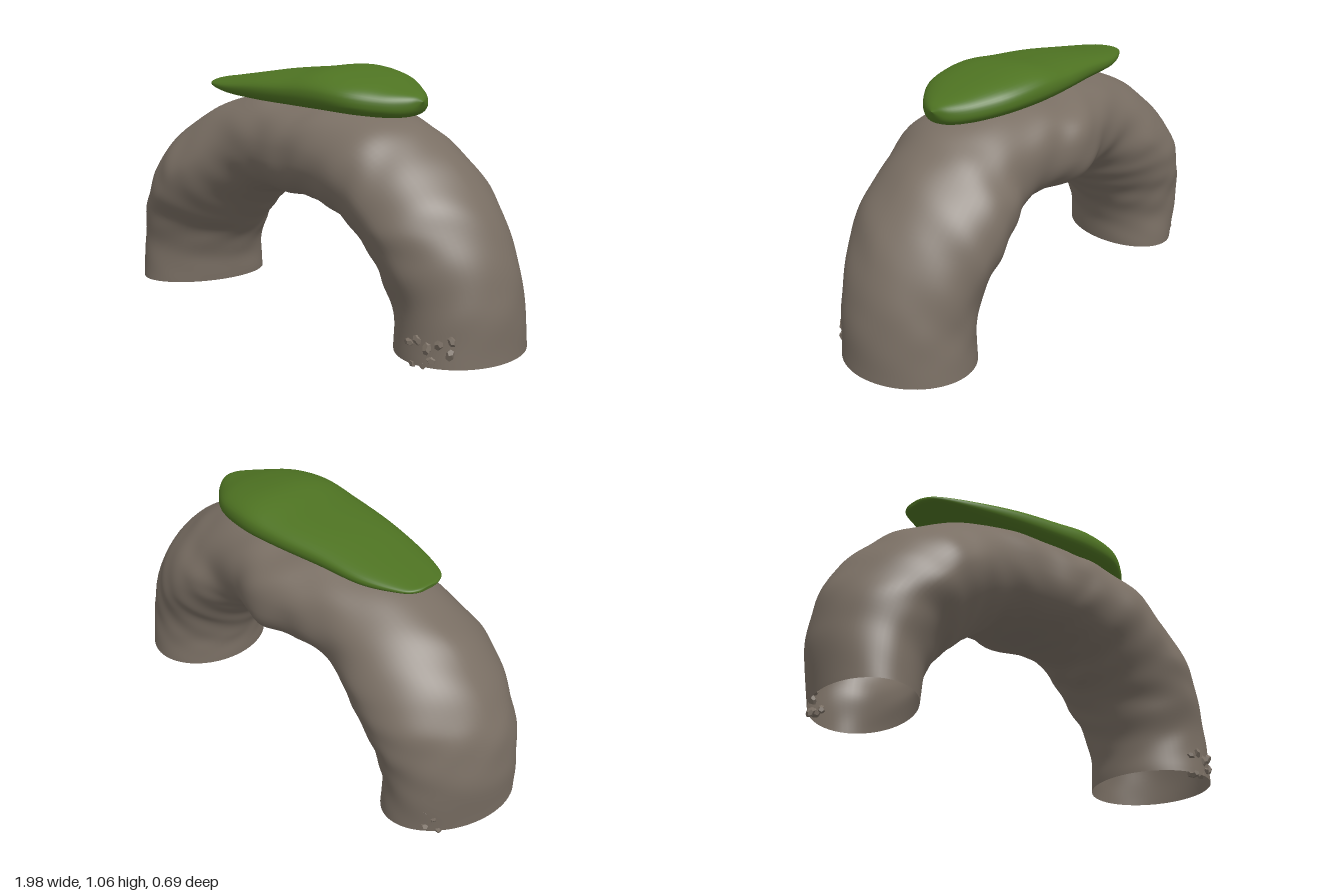
import * as THREE from 'three';

// Lofts open rings along two matching rails. Rail rows are [x, y, half depth]:
// the outer rail carries the depth toward +z, the inner rail toward -z.
// shape(u) is 1 for an ellipse, smaller for a boxier and larger for a slimmer section.
function loft(outerRows, innerRows, rings, sides, shape, bump) {
  const rail = rows => new THREE.CatmullRomCurve3(
    rows.map(r => new THREE.Vector3(...r)), false, 'catmullrom', 0.5);
  const outer = rail(outerRows), inner = rail(innerRows);
  const pos = [], index = [];
  const soft = (v, p) => Math.sign(v) * Math.pow(Math.abs(v), p);
  for (let i = 0; i <= rings; i++) {
    const u = i / rings, p = shape(u);
    const o = outer.getPoint(u), n = inner.getPoint(u);
    for (let j = 0; j < sides; j++) {
      const t = (j / sides) * Math.PI * 2;
      const k = 1 + bump(u, t);
      const c = soft(Math.cos(t), p) * k, s = soft(Math.sin(t), p) * k;
      pos.push(
        (o.x + n.x) / 2 + (o.x - n.x) / 2 * c,
        (o.y + n.y) / 2 + (o.y - n.y) / 2 * c,
        s * (s > 0 ? o.z : n.z));
    }
  }
  for (let i = 0; i < rings; i++) {
    for (let j = 0; j < sides; j++) {
      const a = i * sides + j, b = i * sides + (j + 1) % sides;
      index.push(a, b, a + sides, b, b + sides, a + sides);
    }
  }
  const g = new THREE.BufferGeometry();
  g.setAttribute('position', new THREE.Float32BufferAttribute(pos, 3));
  g.setIndex(index);
  return g;
}

export function createModel() {
  // The arch is a hollow shell, open under both feet
  const stone = new THREE.MeshStandardMaterial({ color: 0x7a6f64, side: THREE.DoubleSide });
  stone.name = 'stone';
  const moss = new THREE.MeshStandardMaterial({ color: 0x4e7322 });
  moss.name = 'moss';
  const model = new THREE.Group();
  model.name = 'mossyRockArch';
  const add = (name, geometry, material) => {
    const mesh = new THREE.Mesh(geometry, material);
    mesh.name = name;
    model.add(mesh);
    return mesh;
  };

  // Rock arch: round feet, slimmer shoulders, slightly flattened crown
  const archOuter = [
    [-0.97, 0.022, 0.285], [-0.992, 0.25, 0.28], [-0.96, 0.45, 0.305], [-0.86, 0.62, 0.345],
    [-0.705, 0.762, 0.335], [-0.48, 0.875, 0.29], [-0.2, 0.932, 0.275], [0.02, 0.92, 0.29],
    [0.22, 0.93, 0.29], [0.47, 0.885, 0.31], [0.645, 0.785, 0.305], [0.8, 0.645, 0.31],
    [0.915, 0.46, 0.29], [0.978, 0.25, 0.265], [0.99, 0.022, 0.28]];
  const archInner = [
    [-0.57, 0.022, 0.285], [-0.555, 0.14, 0.29], [-0.5, 0.255, 0.31], [-0.42, 0.34, 0.325],
    [-0.335, 0.42, 0.31], [-0.24, 0.485, 0.275], [-0.12, 0.515, 0.3], [0.01, 0.52, 0.345],
    [0.13, 0.512, 0.3], [0.23, 0.478, 0.285], [0.32, 0.418, 0.325], [0.4, 0.345, 0.335],
    [0.46, 0.25, 0.3], [0.502, 0.14, 0.28], [0.51, 0.022, 0.285]];
  const archShape = u =>
    1 + 0.13 * Math.sin(u * Math.PI * 2) ** 2 - 0.17 * Math.sin(u * Math.PI) ** 8;
  const weathering = (u, t) => {
    const fade = Math.min(1, u * 12, (1 - u) * 12);
    return fade * (0.006 * Math.sin(u * 47 + 2 * Math.sin(t * 2))
      + 0.006 * Math.sin(u * 83 + 3 * Math.cos(t) + t * 3)
      + 0.005 * Math.sin(t * 7 + 4 * Math.sin(u * 23)));
  };
  const arch = loft(archOuter, archInner, 130, 64, archShape, weathering);
  // The right foot is skewed and the left foot sits slightly back
  const p = arch.attributes.position;
  for (let i = 0; i < p.count; i++) {
    const fade = Math.max(0, 1 - p.getY(i) / 0.5), z = p.getZ(i);
    if (p.getX(i) < 0) p.setX(i, p.getX(i) - 0.18 * z * fade);
    else p.setZ(i, z - 0.02 * fade);
  }
  arch.computeVertexNormals();
  add('rockArch', arch, stone);

  // Moss cap draped over the crown, leaning slightly toward the front
  const mossTop = [
    [-0.597, 0.954, 0], [-0.594, 0.964, 0.06], [-0.55, 0.97, 0.12], [-0.4, 0.993, 0.175],
    [-0.2, 1.024, 0.212], [0, 1.045, 0.23], [0.17, 1.063, 0.235], [0.33, 1.04, 0.215],
    [0.45, 1.006, 0.14], [0.53, 0.98, 0.06], [0.56, 0.955, 0]];
  const mossUnder = [
    [-0.597, 0.954, 0], [-0.59, 0.942, 0.06], [-0.54, 0.932, 0.11], [-0.4, 0.912, 0.175],
    [-0.2, 0.903, 0.205], [0, 0.9, 0.24], [0.17, 0.895, 0.255], [0.34, 0.89, 0.22],
    [0.46, 0.888, 0.14], [0.53, 0.903, 0.065], [0.56, 0.955, 0]];
  const ripple = (u, t) => 0.006 * Math.sin(u * 14 + t * 3) * Math.sin(u * Math.PI);
  const mossShape = loft(mossTop, mossUnder, 60, 48, () => 0.82, ripple);
  mossShape.translate(0, -0.96, 0).rotateX(0.06).translate(0, 0.96, 0);
  mossShape.computeVertexNormals();
  add('mossCap', mossShape, moss);

  // Crumbled chips, half sunk in both feet: x, y, z, size
  const chips = [
    [0.72, 0.1, 0.25, 0.02], [0.76, 0.115, 0.25, 0.022], [0.8, 0.095, 0.245, 0.024],
    [0.84, 0.11, 0.23, 0.024], [0.875, 0.075, 0.208, 0.024], [0.82, 0.05, 0.238, 0.022],
    [0.735, 0.022, 0.245, 0.022], [0.78, 0.03, 0.245, 0.02], [0.88, 0.13, 0.205, 0.02],
    [-0.84, 0.05, -0.23, 0.022], [-0.87, 0.09, -0.205, 0.022], [-0.85, 0.13, -0.225, 0.02],
    [-0.88, 0.03, -0.185, 0.02], [-0.8, 0.08, -0.25, 0.02]];
  chips.forEach(([x, y, z, size], i) => {
    const chip = add('rockChip', new THREE.DodecahedronGeometry(size, 0), stone);
    chip.position.set(x, y, z);
    chip.rotation.set(i * 1.3, i * 2.1, i * 0.7);
    chip.scale.set(1.2, 0.75, 0.8);
  });
  return model;
}
